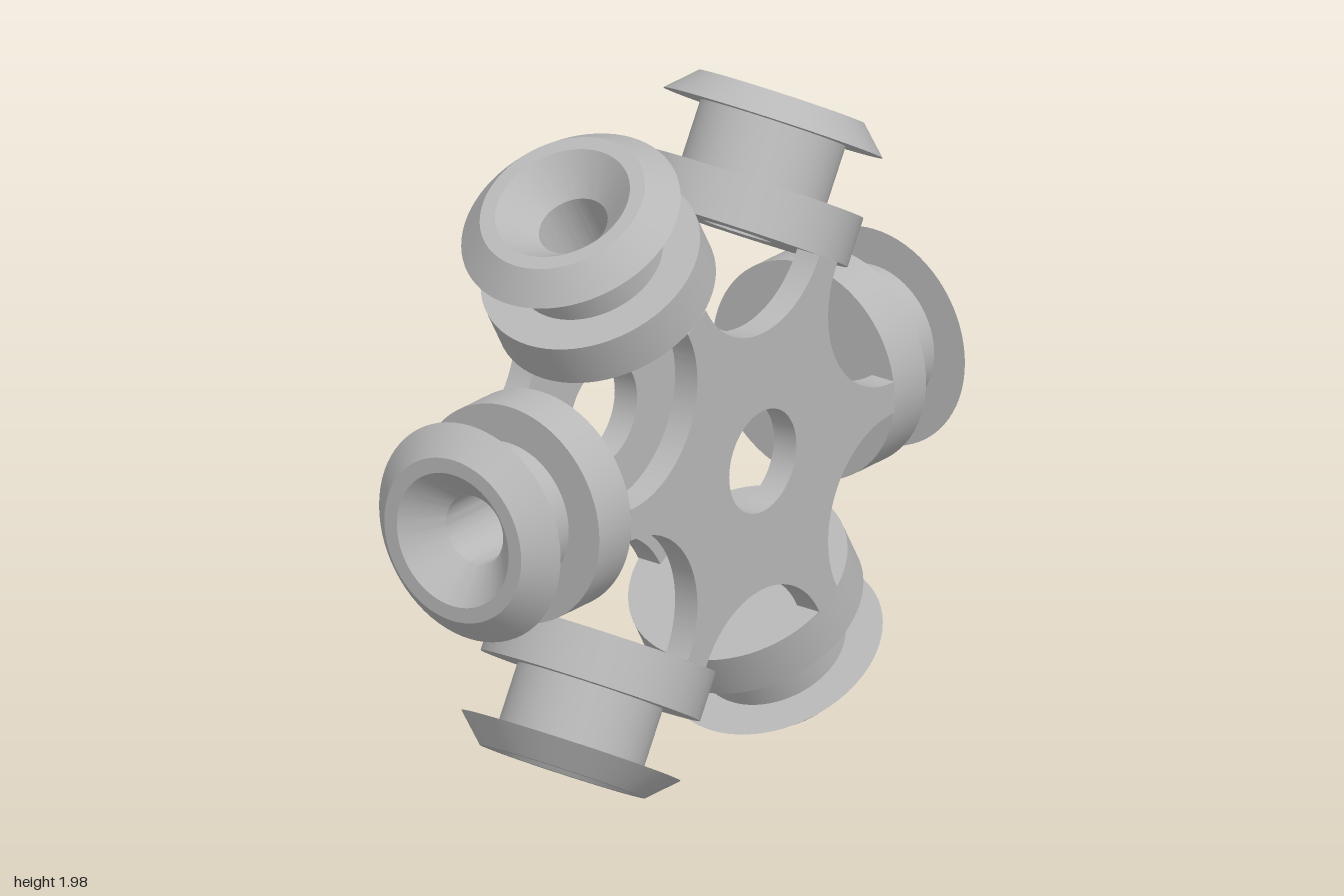
import * as THREE from 'three';
import { toCreasedNormals } from 'three/addons/utils/BufferGeometryUtils.js';

const ARMS = 6;
const STEP = (Math.PI * 2) / ARMS;
const CENTRE_Y = 0.9885;

// Star-shaped plate: a round notch between each pair of arms, and a hub hole
function plateGeometry() {
  const notchDistance = 0.685, notchRadius = 0.295, reach = 0.6, halfTip = 0.0475;
  const shape = new THREE.Shape();
  const tip = (angle, side) => [
    reach * Math.cos(angle) - side * halfTip * Math.sin(angle),
    reach * Math.sin(angle) + side * halfTip * Math.cos(angle),
  ];
  shape.moveTo(...tip(0, -1));
  for (let i = 0; i < ARMS; i++) {
    const angle = i * STEP, mid = angle + STEP / 2;
    if (i > 0) shape.lineTo(...tip(angle, -1));
    shape.lineTo(...tip(angle, 1));
    shape.absarc(notchDistance * Math.cos(mid), notchDistance * Math.sin(mid), notchRadius,
      mid - STEP * 2, mid + STEP * 2, true);
  }
  shape.closePath();
  const hole = new THREE.Path();
  hole.absarc(0, 0, 0.153, 0, Math.PI * 2, true);
  shape.holes.push(hole);
  const geometry = new THREE.ExtrudeGeometry(shape, { depth: 0.08, bevelEnabled: false, curveSegments: 32 });
  return toCreasedNormals(geometry, Math.PI / 6);
}

// Turned connector: disc, neck, bevelled flange, countersink and through bore
function connectorGeometry() {
  const profile = [
    [0.102, 0.6], [0.325, 0.6], [0.325, 0.745], [0.215, 0.745], [0.215, 0.922],
    [0.325, 0.922], [0.245, 1], [0.2, 1], [0.102, 0.9], [0.102, 0.6],
  ].map(([r, y]) => new THREE.Vector2(r, y));
  return toCreasedNormals(new THREE.LatheGeometry(profile, 72), Math.PI / 6);
}

export function createModel() {
  const model = new THREE.Group();
  model.name = 'sixWayConnector';
  const grey = new THREE.MeshStandardMaterial({ color: 0xb8b8b8 });
  grey.name = 'grey';

  // Front and back plates
  const plate = plateGeometry();
  for (const [name, z] of [['frontPlate', 0.245], ['backPlate', -0.325]]) {
    const mesh = new THREE.Mesh(plate, grey);
    mesh.name = name;
    mesh.position.set(0, CENTRE_Y, z);
    model.add(mesh);
  }

  // Connectors around the hub
  const connector = connectorGeometry();
  for (let i = 0; i < ARMS; i++) {
    const mesh = new THREE.Mesh(connector, grey);
    mesh.name = `connector${i + 1}`;
    mesh.position.y = CENTRE_Y;
    mesh.rotation.z = i * STEP - Math.PI / 2;
    model.add(mesh);
  }
  return model;
}
